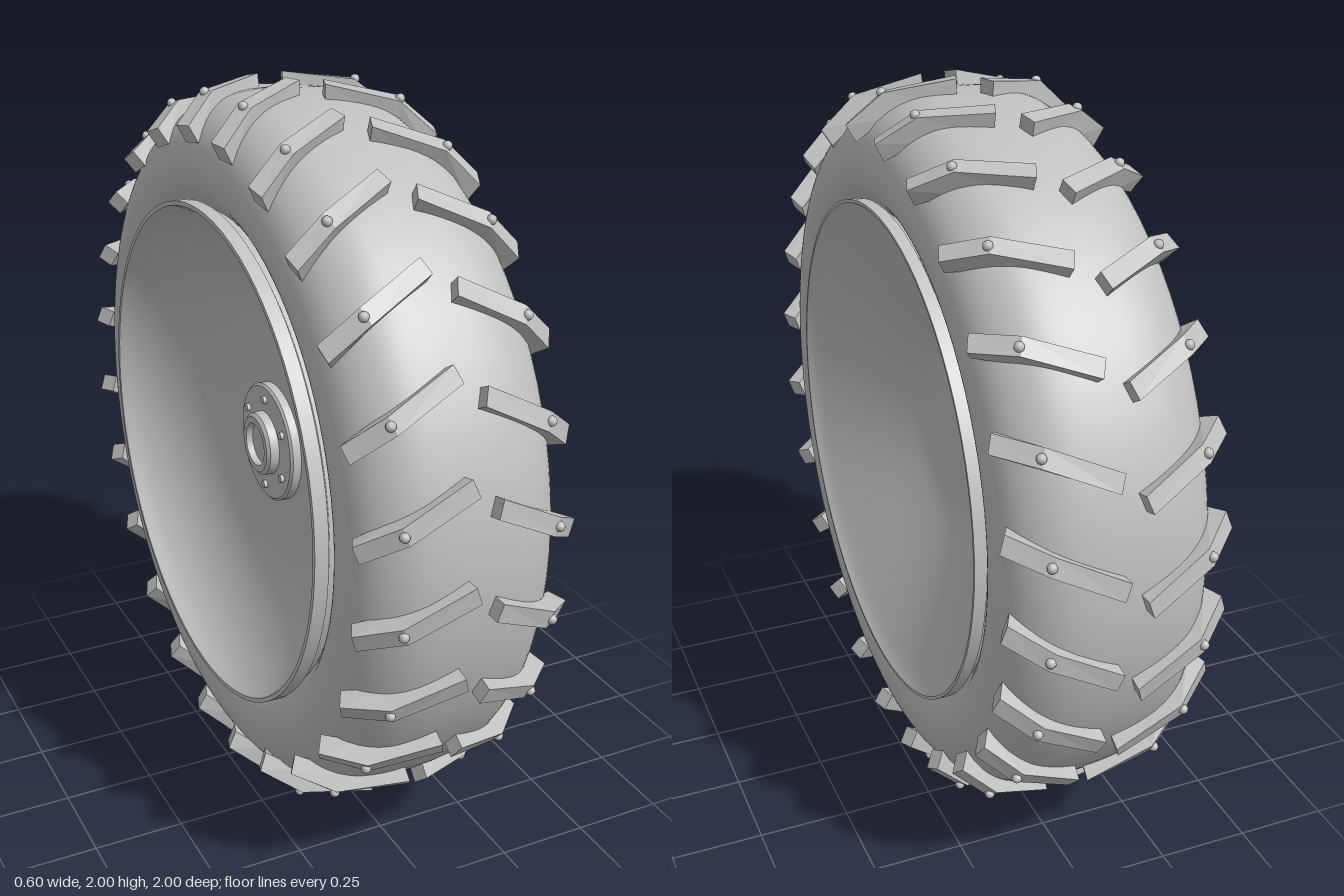
import * as THREE from 'three';

const grey = new THREE.MeshStandardMaterial({ color: 0xc0c0c0 });
grey.name = 'light grey';

const LUGS = 24;

// Surface of revolution about the x axis; points are [x, radius], from -x over the outside to +x
function revolve(name, points, smooth = false, segments = 80) {
  let pts = points.map(([x, r]) => new THREE.Vector2(r, x));
  if (smooth) pts = new THREE.SplineCurve(pts).getPoints(points.length * 4);
  pts.forEach((p) => { p.x = Math.max(p.x, 0); });
  const geo = new THREE.LatheGeometry(pts, segments);
  geo.rotateZ(-Math.PI / 2);
  const mesh = new THREE.Mesh(geo, grey);
  mesh.name = name;
  return mesh;
}

// Hard-edged revolved part: one lathe per profile segment
function revolveSharp(name, points, segments = 80) {
  const group = new THREE.Group();
  group.name = name;
  for (let i = 0; i < points.length - 1; i++) {
    group.add(revolve(name + 'Face', [points[i], points[i + 1]], false, segments));
  }
  return group;
}

// Bent tread bar, from the tyre centre line out to the shoulder; side is +1 or -1
function lugGeometry(side) {
  // [top x, top radius, bottom x, bottom radius, angle in degrees]
  const stations = [
    [0.03, 0.998, 0.03, 0.93, 0],
    [0.2, 0.966, 0.195, 0.9, -5],
    [0.292, 0.888, 0.268, 0.842, -8],
  ];
  const corner = (x, r, deg, s) => {
    const a = THREE.MathUtils.degToRad(deg) + (s * 0.023) / r;
    return [side * (x + s * 0.008), r * Math.sin(a), r * Math.cos(a)];
  };
  const rings = stations.map(([xt, rt, xb, rb, deg]) => [
    corner(xt, rt, deg, 1), corner(xt, rt, deg, -1),
    corner(xb, rb, deg, -1), corner(xb, rb, deg, 1),
  ]);
  const pos = [];
  const quad = (a, b, c, d) => {
    const order = side > 0 ? [a, b, c, a, c, d] : [a, c, b, a, d, c];
    order.forEach((p) => pos.push(...p));
  };
  for (let i = 0; i < 2; i++) {
    for (let j = 0; j < 4; j++) {
      const k = (j + 1) % 4;
      quad(rings[i][j], rings[i][k], rings[i + 1][k], rings[i + 1][j]);
    }
  }
  quad(rings[0][3], rings[0][2], rings[0][1], rings[0][0]);
  quad(...rings[2]);
  const geo = new THREE.BufferGeometry();
  geo.setAttribute('position', new THREE.Float32BufferAttribute(pos, 3));
  geo.computeVertexNormals();
  return geo;
}

function addTread(wheel) {
  const studGeo = new THREE.SphereGeometry(0.013, 10, 8);
  for (const side of [1, -1]) {
    const geo = lugGeometry(side);
    const offset = side > 0 ? -3.5 : 0;
    for (let i = 0; i < LUGS; i++) {
      const lug = new THREE.Group();
      lug.name = side > 0 ? 'leftTreadLug' : 'rightTreadLug';
      const bar = new THREE.Mesh(geo, grey);
      bar.name = 'lugBar';
      // Small stud on the bend of the bar
      const stud = new THREE.Mesh(studGeo, grey);
      stud.name = 'lugStud';
      const a = THREE.MathUtils.degToRad(-5);
      stud.position.set(side * 0.205, 0.964 * Math.sin(a), 0.964 * Math.cos(a));
      lug.add(bar, stud);
      lug.rotation.x = -THREE.MathUtils.degToRad(offset + (i * 360) / LUGS);
      wheel.add(lug);
    }
  }
}

export function createModel() {
  const model = new THREE.Group();
  model.name = 'tractorWheel';
  const wheel = new THREE.Group();
  wheel.name = 'wheel';
  wheel.position.y = 1;
  model.add(wheel);

  // Tyre body
  const half = [[0.08, 0.957], [0.15, 0.943], [0.205, 0.912], [0.245, 0.868],
    [0.268, 0.815], [0.274, 0.765], [0.262, 0.715], [0.225, 0.665]];
  const profile = [...half.map(([x, r]) => [-x, r]).reverse(), [0, 0.96], ...half];
  wheel.add(revolve('tyre', profile, true));

  // Rim barrel with a raised lip on each side
  wheel.add(revolveSharp('rim', [
    [-0.3, 0.678], [-0.3, 0.69], [-0.262, 0.69], [-0.25, 0.668], [-0.2, 0.66],
    [0.2, 0.66], [0.24, 0.668], [0.252, 0.69], [0.285, 0.69], [0.285, 0.682],
  ]));

  // Plain dish on the left
  wheel.add(revolve('leftDish', [
    [0.285, 0.682], [0.262, 0.65], [0.215, 0.56], [0.165, 0.46],
    [0.115, 0.355], [0.075, 0.26], [0.062, 0.2], [0.06, 0.1], [0.06, 0],
  ], true));

  // Deeper-walled dish on the right
  wheel.add(revolve('rightDish', [
    [-0.085, 0], [-0.085, 0.15], [-0.088, 0.3], [-0.1, 0.4],
    [-0.135, 0.5], [-0.19, 0.59], [-0.25, 0.65], [-0.3, 0.678],
  ], true));

  // Hub plate with a raised ring and a recessed cap
  wheel.add(revolveSharp('hub', [
    [-0.13, 0], [-0.13, 0.056], [-0.148, 0.06], [-0.148, 0.078],
    [-0.14, 0.088], [-0.115, 0.09], [-0.115, 0.16], [-0.109, 0.167], [-0.08, 0.167],
  ], 48));

  // Hub bolts
  const boltGeo = new THREE.CylinderGeometry(0.011, 0.011, 0.02, 12);
  boltGeo.rotateZ(Math.PI / 2);
  for (let i = 0; i < 6; i++) {
    const a = (i * Math.PI) / 3 + Math.PI / 6;
    const bolt = new THREE.Mesh(boltGeo, grey);
    bolt.name = 'hubBolt';
    bolt.position.set(-0.115, 0.128 * Math.sin(a), 0.128 * Math.cos(a));
    wheel.add(bolt);
  }

  addTread(wheel);
  return model;
}
